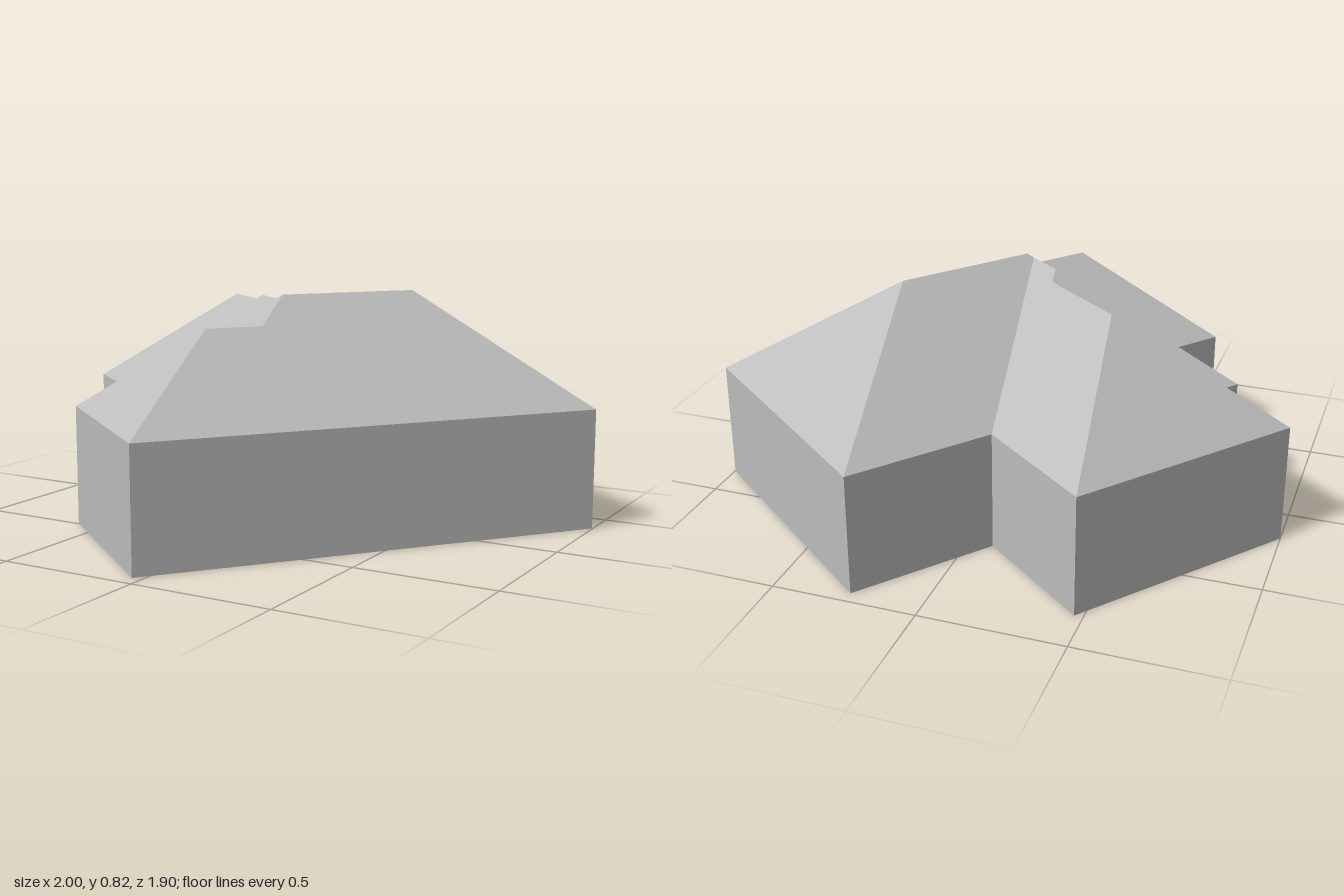
import * as THREE from 'three';

const EAVE = 0.425, PITCH = 0.815;

// Corners of the plan in the building's own square axes: [u, v]
const corners = {
  A: [-0.888, 0.49], B: [-0.888, -0.365], C: [-0.4, -0.365], D: [-0.4, -0.9], E: [0.56, -0.9],
  F: [0.56, 0.766], G: [-0.17, 0.766], H: [-0.17, 0.562], I: [-0.537, 0.562], J: [-0.537, 0.49],
};

// Ridge and valley junctions: [u, v, distance in from the eave]
const ridges = {
  mainBack: [0.08, -0.42, 0.48], mainFront: [0.08, 0.082, 0.48],
  lowBack: [0.195, 0.197, 0.365], lowFront: [0.195, 0.401, 0.365],
  bayInner: [0.0635, 0.0985, 0.4635], bayOuter: [-0.0735, 0.0985, 0.4635],
  wingInner: [-0.1095, 0.0625, 0.4275], wingOuter: [-0.4605, 0.0625, 0.4275],
};

// One roof slope for every wall
const slopes = [
  'E mainBack mainFront lowBack lowFront F', 'F lowFront G', 'G lowFront lowBack H',
  'H lowBack mainFront bayInner bayOuter I', 'I bayOuter wingInner J', 'J wingInner wingOuter A',
  'A wingOuter B', 'B wingOuter wingInner bayOuter bayInner C',
  'C bayInner mainFront mainBack D', 'D mainBack E',
];

function point(name) {
  const [u, v, d = 0] = corners[name] || ridges[name];
  return new THREE.Vector3(u, EAVE + d * PITCH, v);
}

// Fills flat polygons, each facing up or down, with sharp edges between them
function flatFaces(polygons, up) {
  const positions = [];
  for (const poly of polygons) {
    const flat = poly.map((p) => new THREE.Vector2(p.x, p.z));
    for (const tri of THREE.ShapeUtils.triangulateShape(flat, [])) {
      const [a, b, c] = tri.map((i) => poly[i]);
      const normal = b.clone().sub(a).cross(c.clone().sub(a));
      const order = (normal.y > 0) === up ? [a, b, c] : [a, c, b];
      order.forEach((p) => positions.push(p.x, p.y, p.z));
    }
  }
  return toGeometry(positions);
}

function toGeometry(positions) {
  const geometry = new THREE.BufferGeometry();
  geometry.setAttribute('position', new THREE.Float32BufferAttribute(positions, 3));
  geometry.computeVertexNormals();
  return geometry;
}

export function createModel() {
  const group = new THREE.Group();
  group.name = 'hippedRoofHouse';
  const grey = new THREE.MeshStandardMaterial({ color: 0xbcbcbc });
  grey.name = 'plain grey';

  const add = (name, geometry) => {
    const mesh = new THREE.Mesh(geometry, grey);
    mesh.name = name;
    mesh.rotation.y = -0.669; // the plan stands askew to the front
    group.add(mesh);
  };

  // Roof
  add('hippedRoof', flatFaces(slopes.map((s) => s.split(' ').map(point)), true));

  // Walls, one quad per plan edge
  const outline = Object.keys(corners).map(point);
  const walls = [];
  outline.forEach((a, i) => {
    const b = outline[(i + 1) % outline.length];
    const a0 = a.clone().setY(0), b0 = b.clone().setY(0);
    [a0, a, b0, b0, a, b].forEach((p) => walls.push(p.x, p.y, p.z));
  });
  add('walls', toGeometry(walls));

  // Underside
  add('base', flatFaces([outline.map((p) => p.clone().setY(0))], false));
  return group;
}
